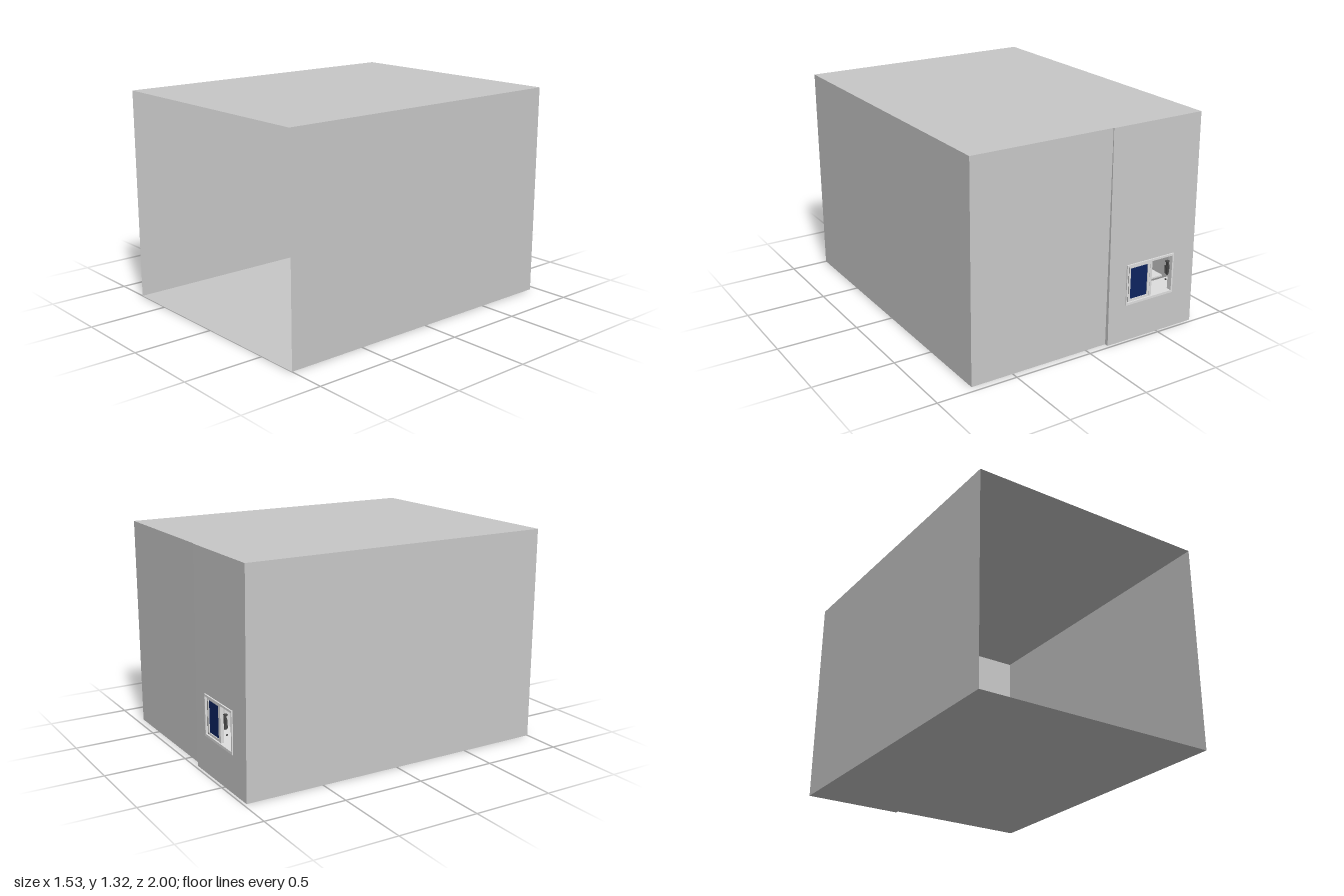
import * as THREE from 'three';

const mat = (name, color, side = THREE.FrontSide) => {
  const m = new THREE.MeshStandardMaterial({ color, side });
  m.name = name;
  return m;
};

export function createModel() {
  const room = new THREE.Group();
  room.name = 'officeRoom';
  const wall = mat('wallGrey', 0xc8c8c8, THREE.DoubleSide);
  const cabinet = mat('cabinetGrey', 0xc8c8c8);
  const light = mat('frameLightGrey', 0xdedede);
  const dark = mat('darkGrey', 0x4a4a4a);
  const blue = mat('deepBlue', 0x0d2460);

  const add = (name, geo, m, parent = room) => {
    const mesh = new THREE.Mesh(geo, m);
    mesh.name = name;
    parent.add(mesh);
    return mesh;
  };
  // Box given by its minimum and maximum corners
  const box = (name, x0, x1, y0, y1, z0, z1, m, parent) => {
    const mesh = add(name, new THREE.BoxGeometry(x1 - x0, y1 - y0, z1 - z0), m, parent);
    mesh.position.set((x0 + x1) / 2, (y0 + y1) / 2, (z0 + z1) / 2);
    return mesh;
  };
  const group = (name) => {
    const g = new THREE.Group();
    g.name = name;
    room.add(g);
    return g;
  };
  const rect = (Type, x0, x1, y0, y1) => {
    const s = new Type();
    s.moveTo(x0, y0).lineTo(x1, y0).lineTo(x1, y1).lineTo(x0, y1).closePath();
    return s;
  };
  // Rectangular plate with a rectangular opening
  const frameGeo = (o, h, depth) => {
    const s = rect(THREE.Shape, ...o);
    s.holes.push(rect(THREE.Path, ...h));
    return new THREE.ExtrudeGeometry(s, { depth, bevelEnabled: false });
  };

  // Room shell, open at the front
  const X = 0.765, H = 1.315, ZB = -0.957, L = 1 - ZB, zc = (1 + ZB) / 2, split = -0.14;
  for (const [name, y] of [['floor', 0], ['ceiling', H]]) {
    const p = add(name, new THREE.PlaneGeometry(2 * X, L), wall);
    p.rotation.x = y ? -Math.PI / 2 : Math.PI / 2;
    p.position.set(0, y, zc);
  }
  for (const s of [-1, 1]) {
    const p = add(s > 0 ? 'leftWall' : 'rightWall', new THREE.PlaneGeometry(L, H), wall);
    p.rotation.y = s * Math.PI / 2;
    p.position.set(s * X, H / 2, zc);
  }
  const back = add('backWall', new THREE.PlaneGeometry(X - split, H), wall);
  back.rotation.y = Math.PI;
  back.position.set((X + split) / 2, H / 2, ZB);

  // Tapered outer wall panel with the window opening
  const panel = frameGeo([-X, split, 0, H], [-0.6, -0.27, 0.235, 0.472], 0.02);
  const pos = panel.attributes.position;
  for (let i = 0; i < pos.count; i++) {
    const outer = pos.getZ(i) < 0.01;
    pos.setZ(i, outer ? ZB - 0.024 + 0.019 * pos.getY(i) / H : ZB);
  }
  panel.computeVertexNormals();
  add('windowWallPanel', panel, wall);
  box('wallSeam', -0.612, -0.606, 0.71, H - 0.002, ZB, ZB + 0.003, dark);

  // Sliding window: open half and blue glazed half
  const win = group('window');
  add('windowFrame', frameGeo([-0.608, -0.262, 0.227, 0.48], [-0.597, -0.272, 0.242, 0.467], 0.034), light, win)
    .position.z = -0.983;
  add('sashFrame', frameGeo([-0.437, -0.283, 0.242, 0.467], [-0.422, -0.296, 0.256, 0.452], 0.014), light, win)
    .position.z = -0.973;
  box('blueGlass', -0.422, -0.296, 0.256, 0.452, -0.968, -0.963, blue, win);
  box('windowMullion', -0.452, -0.437, 0.242, 0.467, -0.975, -0.955, light, win);
  box('sashSeal', -0.283, -0.279, 0.242, 0.467, -0.973, -0.958, dark, win);

  // Hanging handle outside the open half
  const handle = group('windowHandle');
  box('handleTop', -0.565, -0.541, 0.442, 0.447, -0.999, -0.98, dark, handle);
  box('handleCore', -0.556, -0.548, 0.36, 0.445, -1, -0.985, dark, handle);
  for (const x of [-0.564, -0.54]) box('handleBar', x - 0.002, x + 0.002, 0.37, 0.42, -0.995, -0.985, dark, handle);
  box('handleStop', -0.554, -0.549, 0.322, 0.33, -0.99, -0.98, dark, handle);

  // Cabinets: body, dark reveal and two doors
  const zf = -0.8;
  const cabinetUnit = (name, x0, x1, top, dx0, dx1, dTop, mid) => {
    const g = group(name);
    box('cabinetBody', x0, x1, 0.002, top, ZB + 0.002, zf, cabinet, g);
    box('doorReveal', dx0, dx1, 0.018, dTop, zf - 0.001, zf + 0.001, dark, g);
    const gap = 0.004;
    box('rightDoor', dx0 + gap, mid - gap / 2, 0.018 + gap, dTop - gap, zf, zf + 0.003, cabinet, g);
    box('leftDoor', mid + gap / 2, dx1 - gap, 0.018 + gap, dTop - gap, zf, zf + 0.003, cabinet, g);
    return g;
  };
  const tall = cabinetUnit('tallCabinet', split, 0.762, 0.705, -0.119, 0.74, 0.692, 0.3);
  box('doorPull', 0.728, 0.744, 0.32, 0.44, zf, zf + 0.008, cabinet, tall);
  const low = cabinetUnit('lowCabinet', -0.762, split - 0.002, 0.218, -0.752, -0.15, 0.206, -0.45);
  box('counterTop', -0.762, split - 0.002, 0.218, 0.225, ZB + 0.003, zf + 0.004, light, low);
  box('counterEdge', -0.762, split - 0.002, 0.22, 0.224, zf + 0.003, zf + 0.005, dark, low);

  // Desk on two T-shaped legs
  const desk = group('desk');
  box('deskTop', -0.745, -0.52, 0.199, 0.209, -0.735, -0.265, light, desk);
  for (const z of [-0.7, -0.3]) {
    box('deskFoot', -0.725, -0.53, 0.003, 0.013, z - 0.016, z + 0.016, cabinet, desk);
    box('deskColumn', -0.64, -0.615, 0.013, 0.19, z - 0.014, z + 0.014, cabinet, desk);
    box('deskBracket', -0.725, -0.53, 0.189, 0.199, z - 0.014, z + 0.014, cabinet, desk);
  }
  for (const [x, z] of [[-0.648, -0.385], [-0.632, -0.375]]) {
    const ring = add('deskSpectacles', new THREE.TorusGeometry(0.006, 0.0015, 5, 12), dark, desk);
    ring.rotation.x = Math.PI / 2;
    ring.position.set(x, 0.211, z);
  }

  // Open laptop, turned towards the room
  const laptop = group('laptop');
  laptop.position.set(-0.6175, 0.209, -0.68);
  laptop.rotation.y = 0.33;
  box('laptopBase', -0.061, 0.061, 0, 0.006, 0, 0.08, blue, laptop);
  box('laptopKeys', -0.052, 0.052, 0.006, 0.007, 0.012, 0.045, dark, laptop);
  box('laptopLid', -0.061, 0.061, 0.004, 0.097, -0.005, 0, blue, laptop);
  box('laptopScreen', -0.057, 0.057, 0.011, 0.093, 0, 0.001, cabinet, laptop);
  return room;
}
